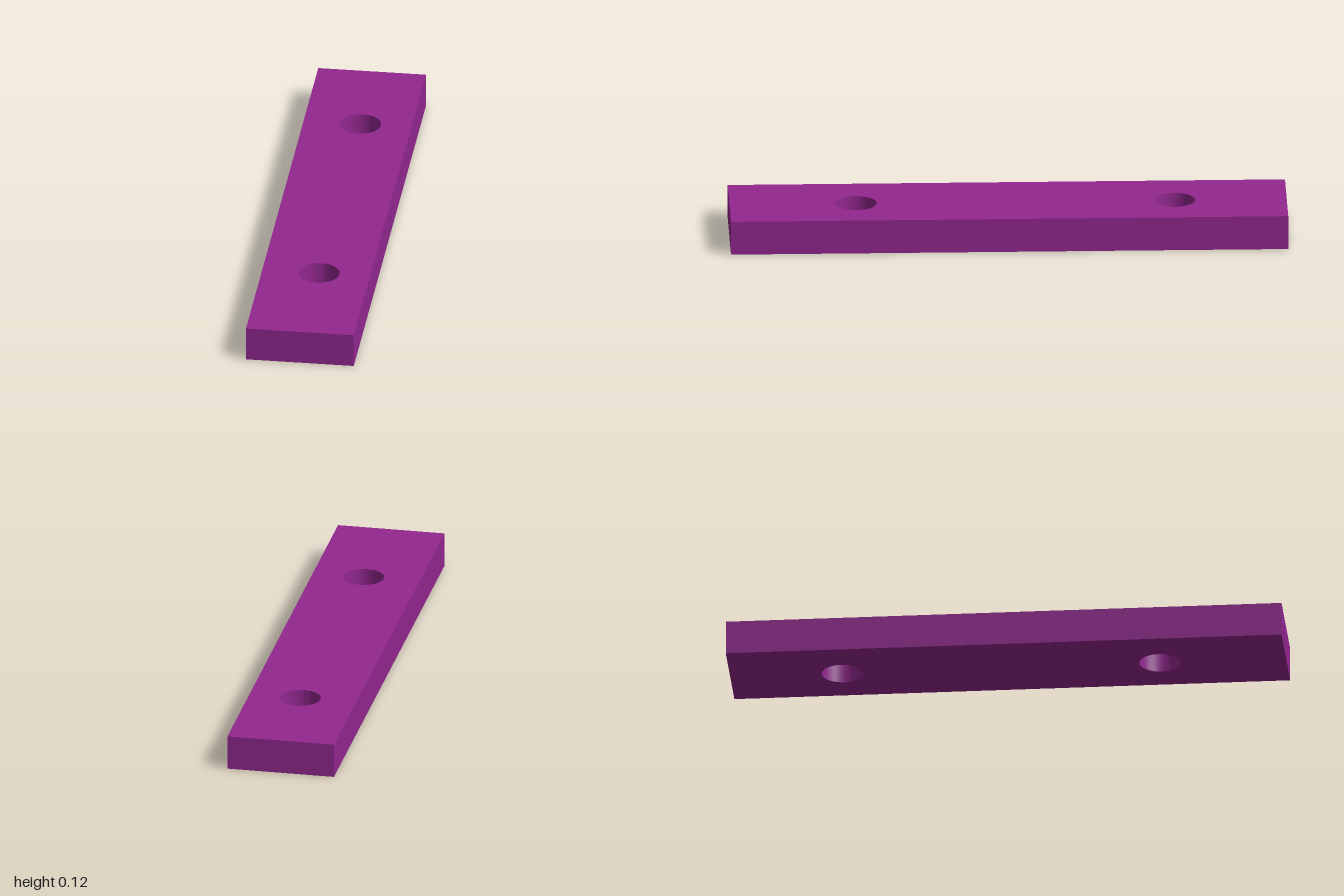
import * as THREE from 'three';
import { toCreasedNormals } from 'three/addons/utils/BufferGeometryUtils.js';

const WIDTH = 0.39, LENGTH = 2, HEIGHT = 0.125;
const HOLE_RADIUS = 0.074, HOLE_X = 0.01, HOLE_Z = [-0.597, 0.546];

export function createModel() {
  const group = new THREE.Group();
  group.name = 'drilledBar';

  // Bar outline, drawn flat with shape y = -z
  const w = WIDTH / 2, l = LENGTH / 2;
  const outline = new THREE.Shape([
    new THREE.Vector2(-w, -l), new THREE.Vector2(w, -l),
    new THREE.Vector2(w, l), new THREE.Vector2(-w, l),
  ]);

  // Two round through holes
  for (const z of HOLE_Z) {
    outline.holes.push(new THREE.Path().absarc(HOLE_X, -z, HOLE_RADIUS, 0, Math.PI * 2, true));
  }

  // Extrude upwards, smooth hole walls and sharp edges
  const geometry = new THREE.ExtrudeGeometry(outline, { depth: HEIGHT, bevelEnabled: false, curveSegments: 48 });
  geometry.rotateX(-Math.PI / 2);

  const bar = new THREE.Mesh(
    toCreasedNormals(geometry, Math.PI / 6),
    new THREE.MeshStandardMaterial({ color: 0x92278f }),
  );
  bar.name = 'bar';
  group.add(bar);
  return group;
}
